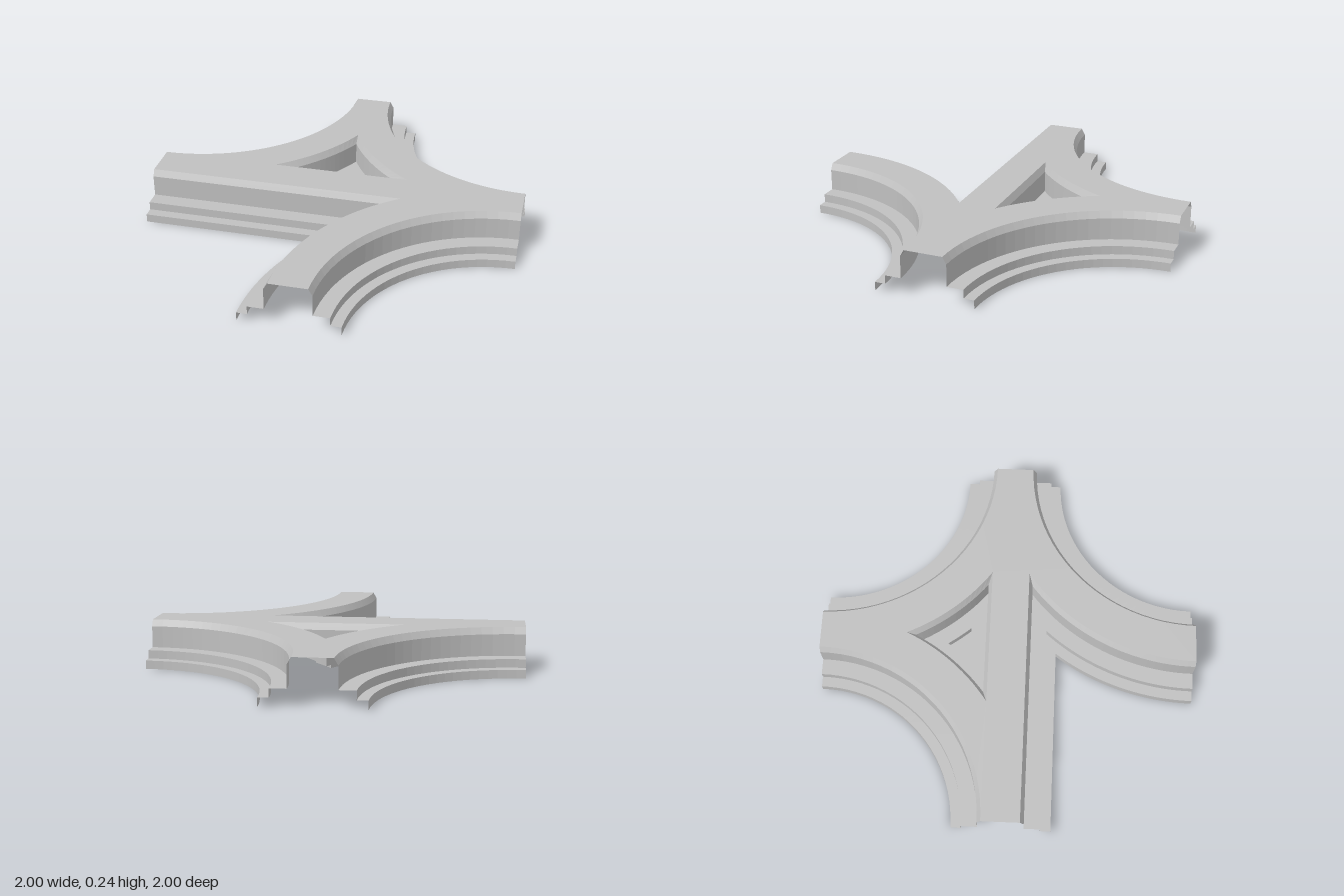
import * as THREE from 'three';

// Embankment cross-section: [distance from the road's centre line, height]
const PROFILE = [[0.1, 0.24], [0.12, 0.205], [0.12, 0.09], [0.205, 0.09], [0.205, 0.045], [0.26, 0.045], [0.26, 0]];
const SEG = 24;

// Points [x, z] on a circle between two angles
function arc(cx, cz, r, a0, a1, n = SEG) {
  return Array.from({ length: n + 1 }, (_, i) => {
    const a = a0 + (a1 - a0) * i / n;
    return [cx + r * Math.cos(a), cz + r * Math.sin(a)];
  });
}

// Outlines at offset d from the centre lines of the roads
const backLeft = d => arc(-1, -1, 1 - d, 0, Math.PI / 2);
const backRight = d => arc(1, -1, 1 - d, Math.PI / 2, Math.PI);
const frontRight = d => arc(1, 1, 1 - d, Math.PI, Math.PI * 1.5);
const fork = d => {
  const r = 1 + d;
  const tip = Math.PI + Math.asin((1 - d) / r);
  return [[-1, d], ...arc(1, 1, r, tip, Math.PI)];
};
const island = d => {
  const r = 1 + d;
  const a = Math.acos(1 / r), b = Math.asin((1 - d) / r);
  const left = arc(-1, -1, r, b, a, 14);
  const right = left.slice(0, -1).reverse().map(([x, z]) => [-x, z]);
  return [...left, ...right, left[0]];
};

// Skins the profile along an outline
function embankment(outline, profile) {
  const pos = [], idx = [];
  const rows = profile.map(([d, y]) => outline(d).map(([x, z]) => [x, y, z]));
  const n = rows[0].length;
  rows.forEach(row => row.forEach(p => pos.push(...p)));
  for (let j = 0; j < rows.length - 1; j++) {
    for (let i = 0; i < n - 1; i++) {
      const a = j * n + i, b = a + 1, c = a + n, d = c + 1;
      idx.push(a, b, c, b, d, c);
    }
  }
  const g = new THREE.BufferGeometry();
  g.setAttribute('position', new THREE.Float32BufferAttribute(pos, 3));
  g.setIndex(idx);
  g.computeVertexNormals();
  return g;
}

// Horizontal sheet bounded by an outline
function sheet(points, y, hole) {
  const vec = pts => pts.map(([x, z]) => new THREE.Vector2(x, -z));
  const shape = new THREE.Shape(vec(points));
  if (hole) shape.holes.push(new THREE.Path(vec(hole)));
  return new THREE.ShapeGeometry(shape).rotateX(-Math.PI / 2).translate(0, y, 0);
}

export function createModel() {
  const group = new THREE.Group();
  const grey = new THREE.MeshStandardMaterial({ color: 0xc0c0c0, flatShading: true, side: THREE.DoubleSide });
  grey.name = 'grey';
  const add = (name, geometry) => {
    const mesh = new THREE.Mesh(geometry, grey);
    mesh.name = name;
    group.add(mesh);
  };

  // Road deck with the triangular opening
  const d = PROFILE[0][0];
  const rim = [
    ...backLeft(d).reverse(),
    ...backRight(d).reverse(),
    ...frontRight(d).reverse(),
    ...fork(d).reverse(),
  ];
  add('roadDeck', sheet(rim, 0.24, island(d).slice(0, -1)));

  // Stepped sides, open underneath
  add('backRightSide', embankment(backLeft, PROFILE));
  add('backLeftSide', embankment(backRight, PROFILE));
  add('frontLeftSide', embankment(frontRight, PROFILE));
  add('frontRightForkSide', embankment(fork, PROFILE));

  // Sunken island between the roads
  add('islandSides', embankment(island, PROFILE.slice(0, 5)));
  add('islandFloor', sheet(island(0.205).slice(0, -1), 0.045));
  return group;
}
